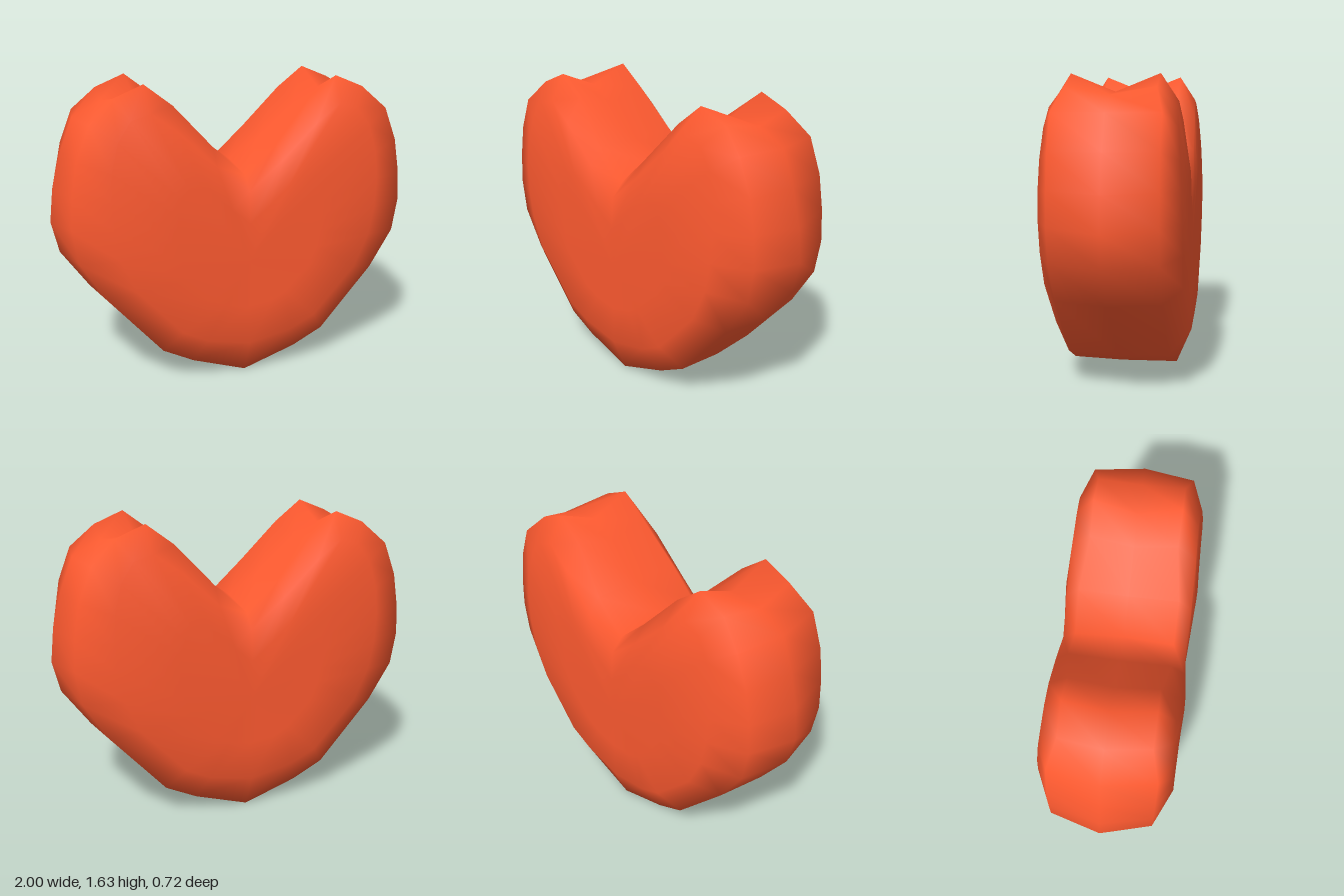
import * as THREE from 'three';

// Half outline from bottom tip to cleft:
// [mid x, mid y, shoulder x, shoulder y, face x, face y, face z]
const HALF = [
  [0.00, 0.005, 0.00, 0.005, 0.00, 0.20, 0.348],
  [0.31, 0.10, 0.30, 0.105, 0.24, 0.25, 0.35],
  [0.48, 0.18, 0.47, 0.19, 0.38, 0.32, 0.355],
  [0.81, 0.52, 0.77, 0.53, 0.62, 0.58, 0.355],
  [0.96, 0.73, 0.90, 0.74, 0.70, 0.76, 0.355],
  [1.00, 0.90, 0.93, 0.92, 0.73, 0.92, 0.355],
  [0.98, 1.08, 0.92, 1.09, 0.74, 1.07, 0.35],
  [0.93, 1.27, 0.89, 1.27, 0.73, 1.22, 0.342],
  [0.86, 1.45, 0.82, 1.45, 0.69, 1.37, 0.33],
  [0.71, 1.53, 0.69, 1.57, 0.62, 1.47, 0.318],
  [0.53, 1.545, 0.53, 1.635, 0.52, 1.50, 0.315],
  [0.38, 1.46, 0.38, 1.52, 0.38, 1.40, 0.325],
  [0.18, 1.29, 0.18, 1.30, 0.18, 1.21, 0.335],
  [0.00, 1.17, 0.00, 1.135, 0.00, 1.06, 0.335],
];
const CENTRE = [0, 0.68];

// Full closed loop: right half upwards, mirrored half back down
function loop(pick) {
  const right = HALF.map(pick);
  const left = right.slice(1, -1).reverse().map(([x, y, z]) => [-x, y, z]);
  return [...right, ...left];
}

function heartGeometry() {
  const mid = loop((p) => [p[0], p[1], 0]);
  const shoulder = loop((p) => [p[2], p[3], p[3] > 1.5 ? 0.225 : 0.265]);
  const face = loop((p) => [p[4], p[5], p[6]]);
  const inner = face.map(([x, y]) => [
    CENTRE[0] + (x - CENTRE[0]) * 0.55, CENTRE[1] + (y - CENTRE[1]) * 0.55,
    0.345 + 0.015 * Math.min(1, Math.abs(x) / 0.6),
  ]);
  const back = (ring) => ring.map(([x, y, z]) => [x, y, -z]);

  // Cross-sections from back to front
  const rings = [back(inner), back(face), back(shoulder), mid, shoulder, face, inner];
  const n = mid.length;
  const points = rings.flat();
  const index = [];
  for (let r = 0; r < rings.length - 1; r++) {
    for (let i = 0; i < n; i++) {
      const a = r * n + i, b = r * n + (i + 1) % n;
      index.push(a, b, b + n, a, b + n, a + n);
    }
  }

  // Closing fans on the back and front faces
  const backCentre = points.push([...CENTRE, -0.345]) - 1;
  const frontCentre = points.push([...CENTRE, 0.345]) - 1;
  const last = (rings.length - 1) * n;
  for (let i = 0; i < n; i++) {
    const j = (i + 1) % n;
    index.push(backCentre, j, i, frontCentre, last + i, last + j);
  }

  const geometry = new THREE.BufferGeometry();
  geometry.setAttribute('position', new THREE.Float32BufferAttribute(points.flat(), 3));
  geometry.setIndex(index);
  geometry.computeVertexNormals();
  return geometry;
}

export function createModel() {
  const group = new THREE.Group();
  group.name = 'heart';
  const material = new THREE.MeshStandardMaterial({ color: 0xff5a30 });
  const body = new THREE.Mesh(heartGeometry(), material);
  body.name = 'heartBody';
  group.add(body);
  return group;
}
